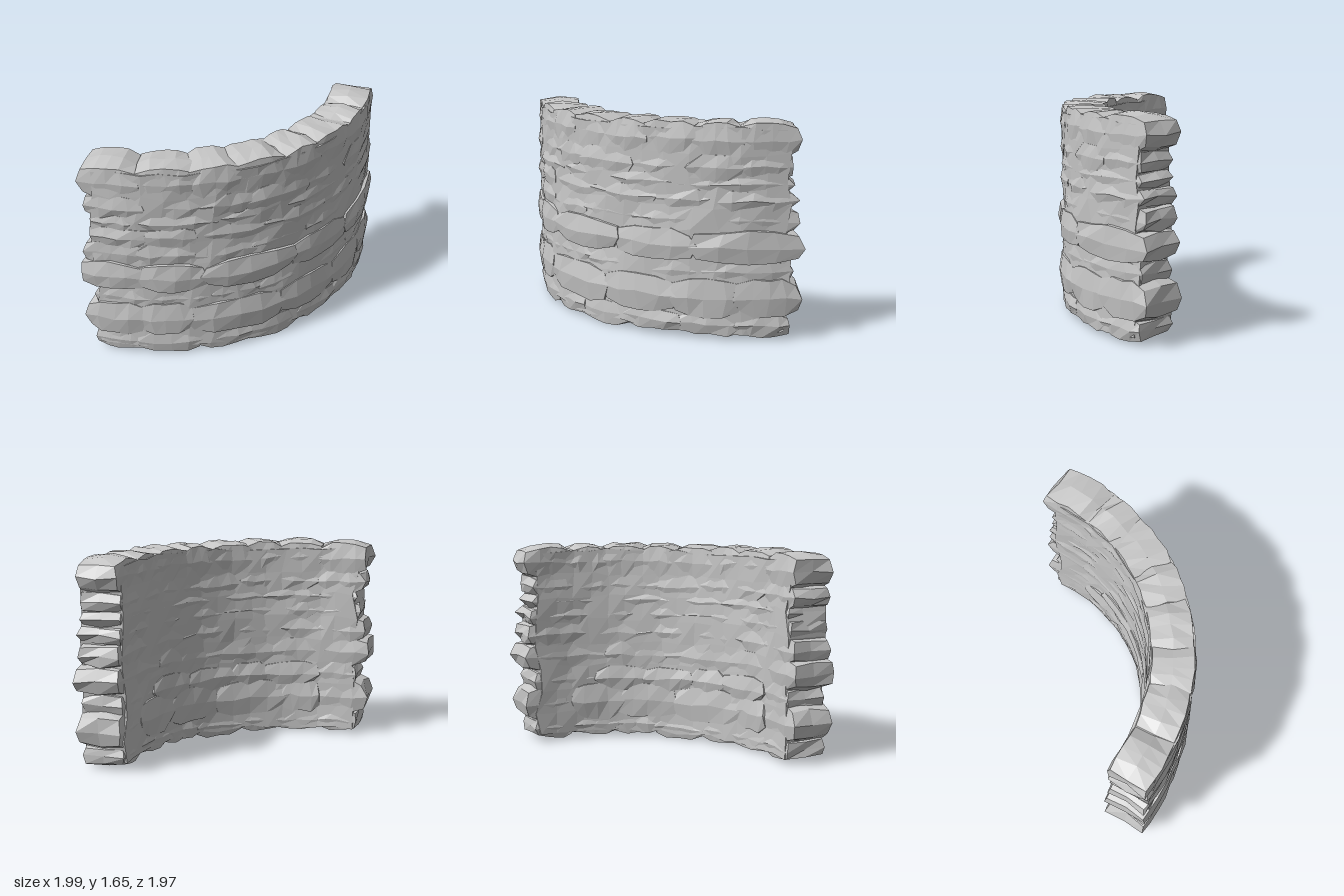
import * as THREE from 'three';

// Plan of the wall: a quarter arc with a short straight run at each end
const CENTRE = -0.75, MID = 1.535, HALF = 0.175, RUN = 0.25;
const ARC = MID * Math.PI / 2, LENGTH = ARC + RUN + 0.235;

// u = distance along the wall, v = offset outwards from the middle line
function bend(u, y, v) {
  const r = MID + v;
  if (u < RUN) return [CENTRE + u - RUN, y, CENTRE + r];
  if (u > RUN + ARC) return [CENTRE + r, y, CENTRE - (u - RUN - ARC)];
  const a = (u - RUN) / MID;
  return [CENTRE + r * Math.sin(a), y, CENTRE + r * Math.cos(a)];
}

// Repeatable noise in -1..1, equal for coincident corners
function noise(a, b, c, seed) {
  const s = Math.sin(a * 12.99 + b * 78.23 + c * 37.72 + seed * 4.17) * 4375.85;
  return (s - Math.floor(s)) * 2 - 1;
}

function shape(geometry, rule) {
  const p = geometry.attributes.position;
  for (let i = 0; i < p.count; i++) p.setXYZ(i, ...rule(p.getX(i), p.getY(i), p.getZ(i)));
  const flat = geometry.toNonIndexed();
  flat.computeVertexNormals();
  return flat;
}

// One soft, cushion-like stone: ends taper in height, faces swell in the middle
function stoneGeometry(u0, u1, y0, y1, v0, v1, seed) {
  const hu = (u1 - u0) / 2, hy = (y1 - y0) / 2, hv = (v1 - v0) / 2;
  return shape(new THREE.BoxGeometry(2, 2, 2, 4, 2, 2), (x, y, z) => {
    const j = (c) => noise(x, y, z, seed + c);
    const u = (u0 + u1) / 2 + hu * x * (1 - 0.12 * y * y) + 0.02 * j(1);
    const h = (y0 + y1) / 2 + hy * y * (1 - 0.3 * x ** 4) * (1 - 0.08 * z * z) + 0.012 * j(2);
    const v = (v0 + v1) / 2 + hv * z * (1 - 0.09 * y * y) * (1 - 0.05 * x ** 4) + 0.007 * j(3);
    return bend(THREE.MathUtils.clamp(u, 0, LENGTH), Math.max(0.005, h), v);
  });
}

// Courses: bottom, top, outward bulge, inward bulge, joints along the wall
const courses = [
  [0.02, 0.21, 0.005, 0.000, [0.09, 0.42, 0.85, 1.20, 1.65, 2.02, 2.45, 2.80]],
  [0.17, 0.49, 0.022, 0.020, [0.02, 0.45, 0.78, 1.46, 2.00, 2.43, 2.87]],
  [0.42, 0.63, 0.000, 0.020, [0.10, 0.47, 0.95, 1.30, 1.75, 2.20, 2.81]],
  [0.59, 0.85, 0.030, 0.005, [0.00, 0.45, 0.88, 1.56, 2.12, 2.89]],
  [0.80, 1.02, 0.000, 0.000, [0.04, 0.44, 0.80, 1.25, 1.70, 2.30, 2.86]],
  [0.98, 1.15, 0.008, 0.000, [0.08, 0.50, 0.82, 1.35, 1.85, 2.25, 2.83]],
  [1.11, 1.26, 0.000, 0.000, [0.11, 0.42, 0.95, 1.50, 2.05, 2.82]],
  [1.21, 1.42, 0.003, 0.000, [0.05, 0.48, 0.90, 1.20, 1.66, 2.10, 2.43, 2.80]],
  [1.37, 1.65, 0.003, 0.000, [0.03, 0.44, 0.82, 1.10, 1.48, 1.78, 2.13, 2.43, 2.87]],
];

export function createModel() {
  const wall = new THREE.Group();
  wall.name = 'curvedStoneWall';
  const stone = new THREE.MeshStandardMaterial({ color: 0xc6c6c6, flatShading: true });
  stone.name = 'pale grey stone';

  // Solid middle whose uneven faces merge with the stones
  const core = new THREE.Mesh(shape(new THREE.BoxGeometry(2.65, 1.54, 0.335, 16, 8, 1),
    (x, y, z) => bend(x + 1.445 + 0.03 * noise(x, y, z, 3), y + 0.83 + 0.02 * noise(x, y, z, 1),
      z + 0.01 * noise(x, y, z, 2))), stone);
  core.name = 'wallCore';
  wall.add(core);

  // Stones laid course by course
  courses.forEach(([y0, y1, out, inner, joints], row) => {
    const course = new THREE.Group();
    course.name = `stoneCourse${row + 1}`;
    for (let i = 0; i < joints.length - 1; i++) {
      const first = i === 0, last = i === joints.length - 2;
      const lap = 0.03;
      const wobble = first || last ? 0 : 0.015 * noise(i, row, 0, 3);
      const mesh = new THREE.Mesh(stoneGeometry(
        joints[i] - (first ? 0 : lap), joints[i + 1] + (last ? 0 : lap),
        y0 + wobble, y1 + wobble * 0.4,
        -HALF - (first || last ? 0 : inner),
        HALF + out + 0.006 * noise(row, i, 1, 5), row * 17 + i * 5), stone);
      mesh.name = 'wallStone';
      course.add(mesh);
    }
    wall.add(course);
  });
  return wall;
}
